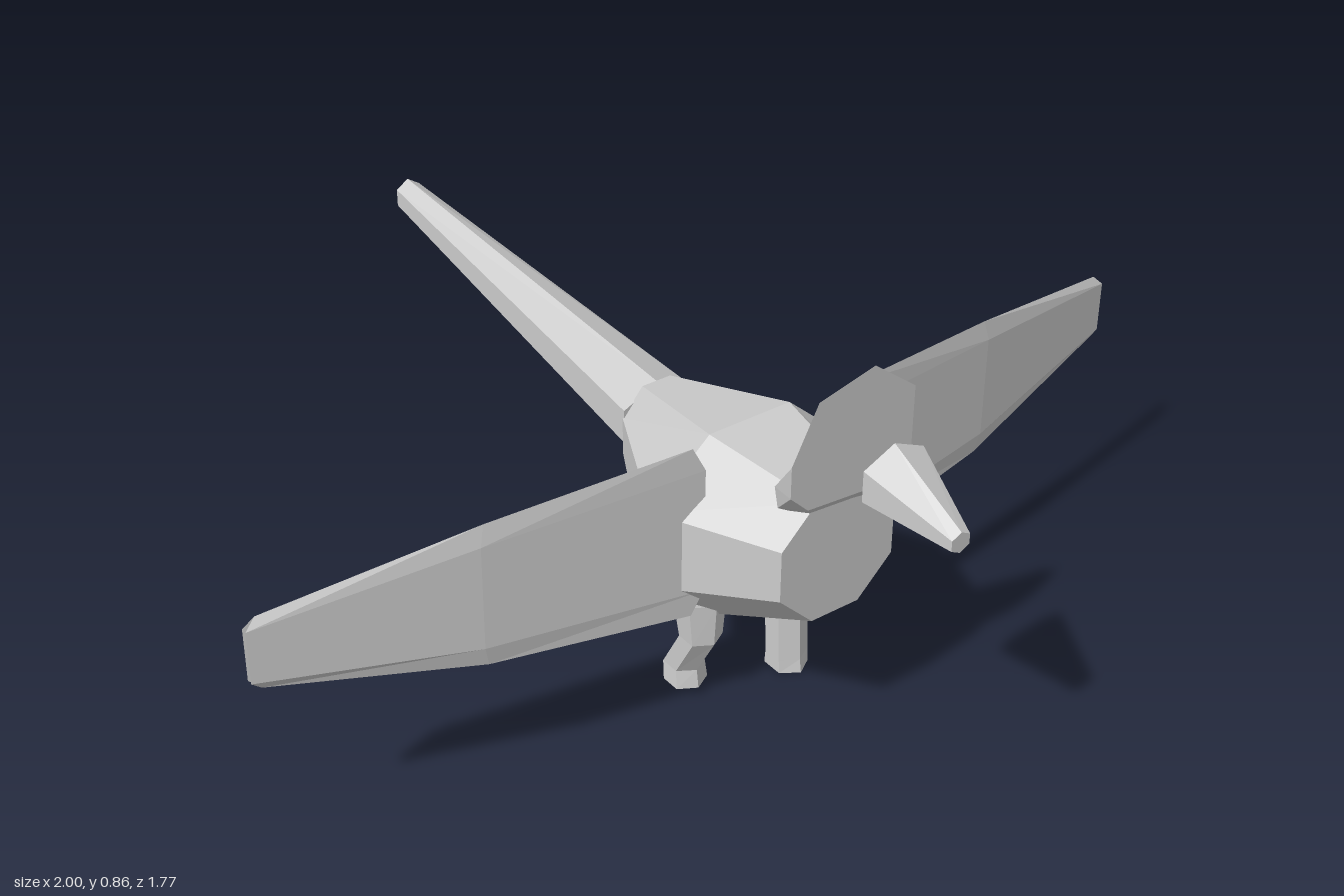
import * as THREE from 'three';

const grey = new THREE.MeshStandardMaterial({ color: 0xcccccc, flatShading: true });
grey.name = 'plain grey';

// Closed, capped solid through a list of rings with equal point counts
function loft(name, rings) {
  const tris = [];
  const n = rings[0].length;
  for (let k = 0; k < rings.length - 1; k++) {
    const a = rings[k], b = rings[k + 1];
    for (let i = 0; i < n; i++) {
      const j = (i + 1) % n;
      tris.push([a[i], a[j], b[j]], [a[i], b[j], b[i]]);
    }
  }
  const last = rings[rings.length - 1];
  for (let i = 1; i < n - 1; i++) {
    tris.push([rings[0][0], rings[0][i + 1], rings[0][i]]);
    tris.push([last[0], last[i], last[i + 1]]);
  }
  // Turn the faces outward whichever way the rings run
  const v = (p) => new THREE.Vector3(...p);
  let volume = 0;
  for (const [a, b, c] of tris) volume += v(a).dot(v(b).cross(v(c)));
  if (volume < 0) tris.forEach((t) => t.reverse());
  const geometry = new THREE.BufferGeometry();
  geometry.setAttribute('position', new THREE.Float32BufferAttribute(tris.flat(2), 3));
  geometry.computeVertexNormals();
  const mesh = new THREE.Mesh(geometry, grey);
  mesh.name = name;
  return mesh;
}

// Regular polygon of n points; start is the angle of the first corner
function polygon(n, start, place) {
  return Array.from({ length: n }, (_, i) => {
    const t = start + (i / n) * Math.PI * 2;
    return place(Math.cos(t), Math.sin(t));
  });
}

// Ring facing along z: flat-topped octagon or pointed-top hexagon
const k8 = 1 / Math.cos(Math.PI / 8);
const octagon = (z, y, hw, hh) =>
  polygon(8, Math.PI / 8, (c, s) => [c * hw * k8, y + s * hh * k8, z]);
const hexagon = (z, y, hw, hh) =>
  polygon(6, Math.PI / 2, (c, s) => [c * hw / 0.866, y + s * hh, z]);

// Wing section: a thin lens standing upright, with its ends set inward
function wingRing(side, x, z, low, high, inset) {
  const mid = (low + high) / 2, half = (high - low) / 2;
  const ys = [[1, 0], [0.72, 1], [-0.72, 1], [-1, 0], [-0.72, -1], [0.72, -1]];
  return ys.map(([u, w]) => [
    side * (x - (Math.abs(u) === 1 ? inset : 0)),
    mid + u * half,
    z + w * 0.006,
  ]);
}

// Leg: hexagonal rings at [y, z, radius in x, radius in z]
function leg(name, x, stations) {
  return loft(name, stations.map(([y, z, rx, rz]) =>
    polygon(6, Math.PI / 6, (c, s) => [x + c * rx, y, z + s * rz])));
}

export function createModel() {
  const bird = new THREE.Group();
  bird.name = 'bird';

  // Body swelling in the middle, and a long tapering tail
  bird.add(loft('body', [
    octagon(0.58, 0.46, 0.13, 0.13),
    octagon(0.32, 0.408, 0.225, 0.203),
    octagon(0.03, 0.45, 0.08, 0.095),
  ]));
  bird.add(loft('tail', [
    hexagon(0.035, 0.472, 0.08, 0.073),
    hexagon(-0.885, 0.5625, 0.028, 0.0375),
  ]));

  // Wedge-shaped head, flat in front and narrowing to the neck behind
  const face = [[-0.085, 0.825], [0.037, 0.855], [0.133, 0.78], [0.133, 0.645],
    [0.1, 0.595], [-0.1, 0.61], [-0.14, 0.65], [-0.14, 0.715]];
  const neck = [[-0.06, 0.645, 0.525], [0.05, 0.645, 0.525], [0.11, 0.62, 0.53],
    [0.11, 0.585, 0.54], [0.04, 0.53, 0.552], [-0.04, 0.54, 0.55],
    [-0.11, 0.58, 0.54], [-0.11, 0.62, 0.53]];
  bird.add(loft('head', [face.map(([x, y]) => [x, y, 0.61]), neck]));

  // Beak, held a little in front of the face
  bird.add(loft('beak', [
    hexagon(0.71, 0.702, 0.067, 0.0625),
    hexagon(0.885, 0.66, 0.02, 0.021),
  ]));

  // Wings swept back toward the tips
  for (const side of [1, -1]) {
    bird.add(loft(side > 0 ? 'leftWing' : 'rightWing', [
      wingRing(side, 0.155, 0.385, 0.278, 0.648, -0.025),
      wingRing(side, 0.59, 0.32, 0.31, 0.615, 0.01),
      wingRing(side, 1, 0.228, 0.387, 0.54, 0.022),
    ]));
  }

  // One leg straight, the other bent backward
  bird.add(leg('leftLeg', 0.105, [
    [0.3, 0.31, 0.05, 0.04],
    [0.25, 0.31, 0.052, 0.053],
    [0.16, 0.318, 0.042, 0.042],
    [0.03, 0.325, 0.042, 0.042],
    [0, 0.325, 0.042, 0.047],
  ]));
  bird.add(leg('rightLeg', -0.102, [
    [0.3, 0.31, 0.05, 0.04],
    [0.25, 0.31, 0.052, 0.053],
    [0.155, 0.315, 0.042, 0.042],
    [0.06, 0.262, 0.04, 0.042],
    [0.02, 0.268, 0.043, 0.042],
  ]));

  return bird;
}
